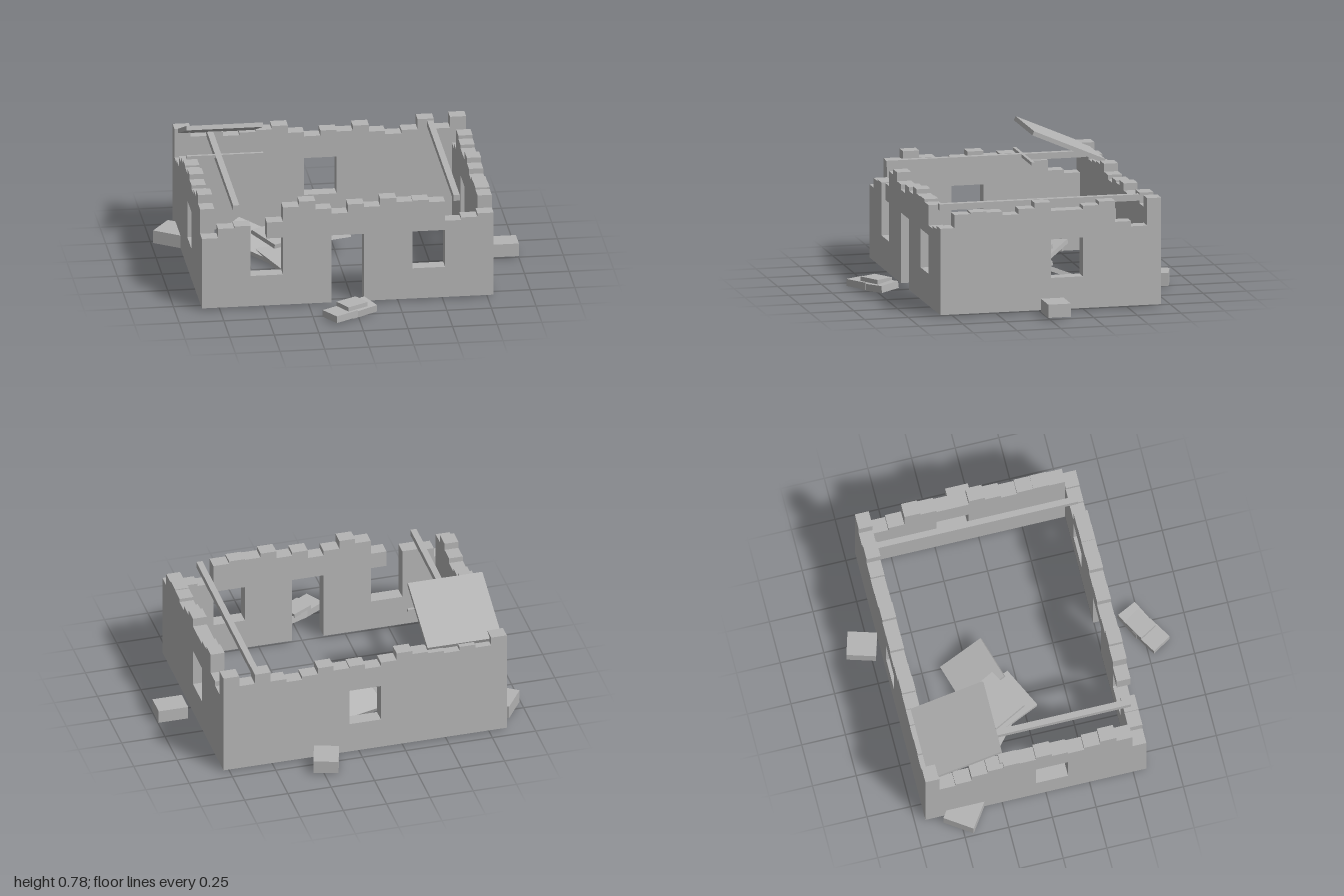
import * as THREE from 'three';
import { mergeGeometries } from 'three/addons/utils/BufferGeometryUtils.js';

const stone = new THREE.MeshStandardMaterial({ color: 0xb4b4b4 });
stone.name = 'grey stone';

const BASE = 0.02, SILL = 0.2, LINTEL = 0.42, THICK = 0.08;

// A ruined wall running along +x from 0: one column of masonry per height.
// openings maps a column to the [bottom, top] of its gap.
function wall(name, length, heights, openings = {}) {
  const w = length / heights.length;
  const parts = [];
  const block = (i, y0, y1) => {
    if (y1 - y0 < 0.001) return;
    parts.push(new THREE.BoxGeometry(w, y1 - y0, THICK).translate((i + 0.5) * w, (y0 + y1) / 2, 0));
  };
  heights.forEach((top, i) => {
    const gap = openings[i];
    if (!gap) return block(i, BASE, top);
    block(i, BASE, gap[0]);
    block(i, gap[1], top);
  });
  const mesh = new THREE.Mesh(mergeGeometries(parts), stone);
  mesh.name = name;
  return mesh;
}

function box(name, size, position, rotation = [0, 0, 0]) {
  const mesh = new THREE.Mesh(new THREE.BoxGeometry(...size), stone);
  mesh.name = name;
  mesh.position.set(...position);
  mesh.rotation.set(...rotation, 'YXZ');
  return mesh;
}

export function createModel() {
  const group = new THREE.Group();
  group.name = 'ruinedHouse';
  const window = [SILL, LINTEL], door = [BASE, LINTEL];

  // Front wall: doorway, one whole window and one with its lintel half fallen
  const front = wall('frontWall', 1.635,
    [0.435, 0.49, 0.5, SILL, 0.515, 0.6, 0.63, 0.58, 0.55, 0.6, 0.58, 0.625, 0.6, 0.605, 0.59, 0.475, 0.49, 0.51],
    { 4: window, 8: door, 9: door, 13: window, 14: window });
  front.position.set(-0.85, 0, 0.535);

  // Back wall
  const back = wall('backWall', 1.635,
    [0.63, 0.58, 0.6, 0.575, 0.59, 0.6, 0.62, 0.575, 0.55, 0.58, 0.57, 0.6, 0.56, 0.54, 0.56, 0.62, 0.56, 0.625],
    { 8: window, 9: window });
  back.position.set(-0.85, 0, -0.65);

  // Side walls, columns counted from the front towards the back
  const left = wall('leftWall', 1.105,
    [0.585, 0.595, 0.59, 0.57, 0.6, 0.63, 0.58, 0.58, 0.6, 0.62, 0.5, 0.47],
    { 6: window, 7: window });
  left.position.set(0.745, 0, 0.495);
  left.rotation.y = Math.PI / 2;
  const right = wall('rightWall', 1.105,
    [0.58, 0.63, 0.59, 0.56, 0.58, 0.61, 0.58, 0.59, 0.57, 0.54, 0.48, 0.46],
    { 4: window, 5: window });
  right.position.set(-0.81, 0, 0.495);
  right.rotation.y = Math.PI / 2;
  group.add(front, back, left, right);

  // Roof remains: two long beams, a cross rod and a tilted slab
  for (const [name, x] of [['leftBeam', 0.583], ['rightBeam', -0.652]])
    group.add(box(name, [0.035, 0.035, 1.15], [x, 0.592, -0.042]));
  group.add(box('crossRod', [0.43, 0.018, 0.018], [-0.615, 0.6, -0.25]));
  group.add(box('roofSlab', [0.43, 0.025, 0.445], [-0.615, 0.685, -0.455], [-0.41, 0, 0]));

  // Fallen slabs inside
  group.add(box('fallenSlabTop', [0.265, 0.025, 0.22], [-0.305, 0.15, -0.163], [0.1, 0.51, 0]));
  group.add(box('fallenSlabFront', [0.26, 0.025, 0.28], [-0.085, 0.083, -0.23], [-0.38, 0.29, 0]));
  group.add(box('fallenSlabBack', [0.36, 0.025, 0.25], [-0.45, 0.08, -0.27], [0.12, -0.7, -0.2]));
  group.add(box('fallenSlabLow', [0.26, 0.025, 0.32], [-0.295, 0.045, -0.125], [0.12, 0.45, 0]));

  // Loose bricks around the house
  group.add(box('leftBrick', [0.17, 0.075, 0.13], [0.915, 0.057, -0.055]));
  group.add(box('rightBrick', [0.17, 0.075, 0.18], [-0.87, 0.057, -0.475], [0, -0.6, 0]));
  group.add(box('backBrick', [0.14, 0.075, 0.165], [0.22, 0.057, -0.79], [0, -0.29, 0]));
  group.add(box('frontBrickA', [0.15, 0.04, 0.125], [-0.103, 0.037, 0.793], [0, 0.55, 0]));
  group.add(box('frontBrickB', [0.16, 0.04, 0.125], [0.01, 0.04, 0.725], [0.1, 0.48, 0.06]));
  group.add(box('frontBrickTop', [0.135, 0.025, 0.11], [-0.03, 0.07, 0.74], [0, 0.53, 0]));

  return group;
}
